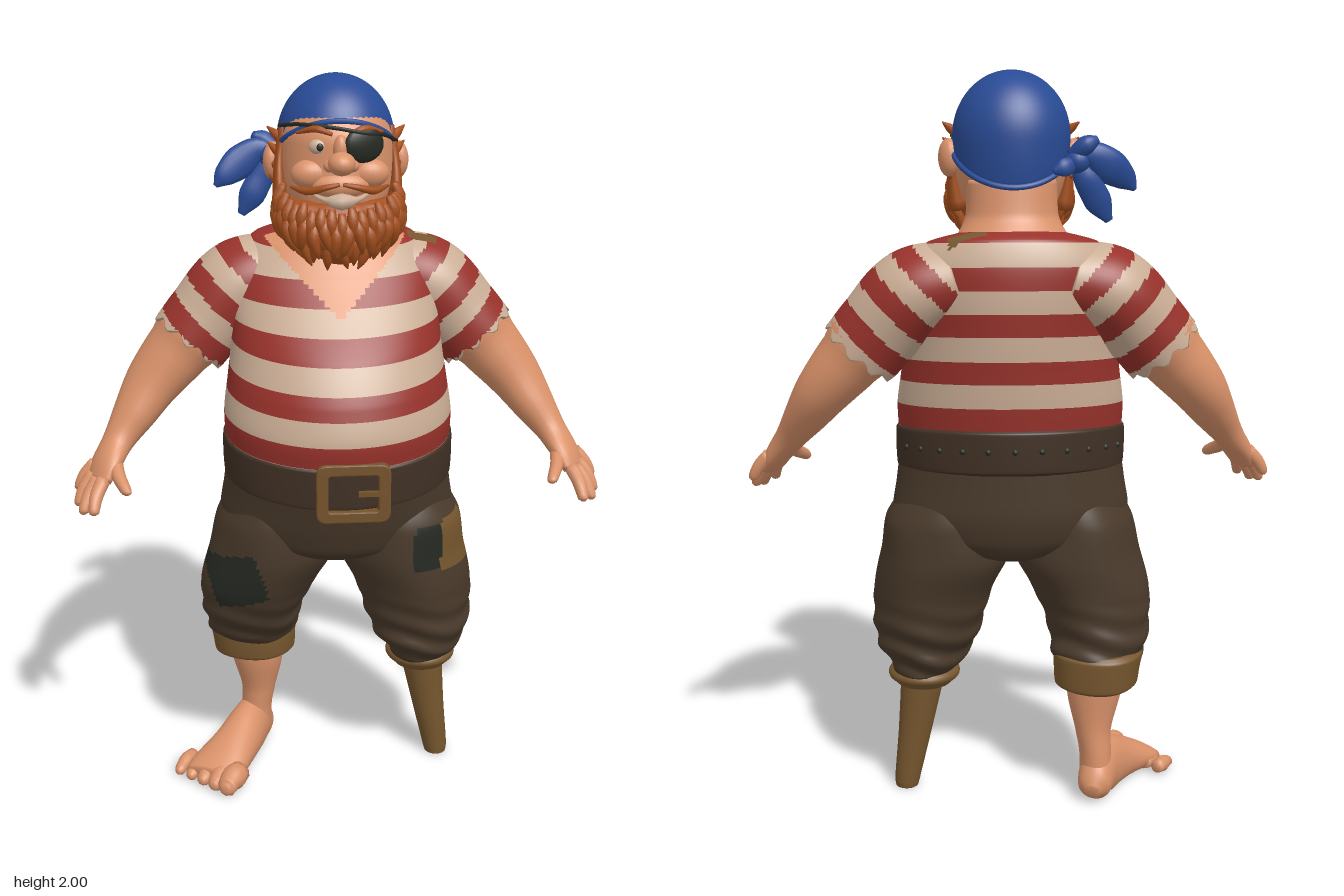
import * as THREE from 'three';

const V = (x, y, z) => new THREE.Vector3(x, y, z);
const material = (name, color) => {
  const m = new THREE.MeshStandardMaterial({ color });
  m.name = name;
  return m;
};

export function createModel() {
  const model = new THREE.Group();
  const skin = material('skin', 0xda926a), red = material('red stripe', 0x98322b);
  const cream = material('cream', 0xcbae96), blue = material('blue cloth', 0x294b95);
  const brown = material('trouser brown', 0x4a3a2b), leather = material('leather', 0x413125);
  const tan = material('tan', 0x77572f), ginger = material('ginger hair', 0xa5501e);
  const dark = material('dark cloth', 0x262a23), bronze = material('bronze', 0x74522b);

  const put = (name, geometry, mat) => {
    const mesh = new THREE.Mesh(geometry, mat);
    mesh.name = name;
    model.add(mesh);
    return mesh;
  };

  // Closed smooth surface from rings f(u, angle); pick chooses a material per facet
  const surface = (name, f, nu, nv, mats, pick = () => 0) => {
    const rows = [];
    for (let i = 0; i <= nu; i++) {
      rows.push(Array.from({ length: nv }, (_, j) => f(i / nu, (j / nv) * Math.PI * 2)));
    }
    const cap = (row) => {
      const c = V(0, 0, 0);
      row.forEach((p) => c.add(p));
      return row.map(() => c.clone().divideScalar(nv));
    };
    const all = [cap(rows[0]), ...rows, cap(rows[nu])];
    const buckets = mats.map(() => []);
    for (let i = 0; i < all.length - 1; i++) {
      for (let j = 0; j < nv; j++) {
        const k = (j + 1) % nv, a = i * nv + j, b = i * nv + k, c = a + nv, d = b + nv;
        const mid = all[i][j].clone().add(all[i + 1][k]).multiplyScalar(0.5);
        buckets[pick(mid)].push(a, b, c, b, d, c);
      }
    }
    const geo = new THREE.BufferGeometry().setFromPoints(all.flat());
    geo.setIndex(buckets.flat());
    let start = 0;
    if (mats.length > 1) buckets.forEach((b, i) => { geo.addGroup(start, b.length, i); start += b.length; });
    geo.computeVertexNormals();
    return put(name, geo, mats.length > 1 ? mats : mats[0]);
  };

  // Level rings, bottom to top: [y, centre x, half width, front z, back z]
  const stack = (name, secs, mats, { nu = 24, nv = 40, tilt = 0, pick, ripple = () => 0 } = {}) => {
    const mid = new THREE.CatmullRomCurve3(secs.map((s) => V(s[1], s[0], 0)));
    const size = new THREE.CatmullRomCurve3(secs.map((s) => V(s[2], s[3], s[4])));
    return surface(name, (u, a) => {
      const c = mid.getPoint(u), r = size.getPoint(u), k = 1 + ripple(a, c.y);
      const z = (r.y + r.z) / 2 + ((r.y - r.z) / 2) * Math.cos(a) * k;
      return V(c.x + r.x * Math.sin(a) * k, c.y - tilt * z, z);
    }, nu, nv, mats, pick);
  };

  // Tube along [x, y, z, radius towards ref, radius across]
  const tube = (name, pts, mats, { nu = 10, nv = 10, ref = V(0, 0, 1), pick, fringe = 0 } = {}) => {
    const path = new THREE.CatmullRomCurve3(pts.map((p) => V(p[0], p[1], p[2])));
    const size = new THREE.CatmullRomCurve3(pts.map((p) => V(p[3], p[4] ?? p[3], 0)));
    return surface(name, (u, a) => {
      const t = path.getTangent(u), b = t.clone().cross(ref).normalize(), n = b.clone().cross(t);
      const r = size.getPoint(u);
      const p = path.getPoint(u).addScaledVector(n, r.x * Math.cos(a)).addScaledVector(b, r.y * Math.sin(a));
      p.addScaledVector(t, fringe * u ** 14 * Math.sin(10 * a));
      p.y = Math.max(p.y, 0.005);
      return p;
    }, nu, nv, mats, pick);
  };

  const ball = (name, mat, pos, scale, seg = 20) => {
    const mesh = put(name, new THREE.SphereGeometry(1, seg, Math.ceil(seg * 0.7)), mat);
    mesh.position.set(...pos);
    mesh.scale.set(...scale);
    return mesh;
  };

  // Striped shirt with an open collar and two mended spots by the left shoulder
  const mended = (p) => p.y > 1.45 && ((p.x > .2 && p.x < .28 && p.z > -.135 && p.z < -.085)
    || (p.x > .07 && p.x < .17 && p.z > -.24 && p.z < -.2));
  stack('shirt', [[1.05, 0, .308, .285, -.265], [1.11, 0, .31, .292, -.272], [1.21, 0, .297, .268, -.282],
    [1.31, 0, .285, .212, -.29], [1.4, 0, .285, .13, -.295], [1.48, 0, .28, .06, -.29],
    [1.55, 0, .22, .005, -.267], [1.572, 0, .14, -.02, -.235]], [red, cream, skin, tan], {
    nu: 120, nv: 130, tilt: 0.1,
    pick: (p) => {
      if (p.z > -0.1 && p.y > 1.385 + 0.95 * Math.abs(p.x)) return 2;
      return mended(p) ? 3 : Math.floor((p.y + 0.1 * p.z - 1.055) / 0.061 + 2) % 2;
    },
  });
  stack('neck', [[1.5, 0, .19, -.01, -.25], [1.57, 0, .15, 0, -.235], [1.63, 0, .122, .01, -.195],
    [1.72, 0, .118, 0, -.18]], [skin]);

  // Sleeves, arms and hands
  for (const s of [1, -1]) {
    const side = (pts) => pts.map(([x, ...rest]) => [s * x, ...rest]);
    const ref = V(-s * 0.4, 0, 0.9);
    tube('sleeve', side([[.14, 1.468, -.145, .125, .1], [.26, 1.43, -.135, .138, .118], [.35, 1.335, -.118, .124, .115],
      [.4, 1.275, -.108, .118, .113]]), [red, cream, tan], {
      nu: 66, nv: 50, fringe: 0.011,
      pick: (p) => (mended(p) ? 2 : Math.abs(Math.floor((.7 * (Math.abs(p.x) - p.y) + .63) / .055)) % 2 ? 0 : 1),
    });
    tube('arm', side([[.33, 1.37, -.12, .1, .09], [.42, 1.265, -.11, .1, .09], [.5, 1.17, -.09, .088, .075],
      [.555, 1.09, -.05, .068, .058], [.603, 1.02, -.008, .048, .041], [.635, .97, .035, .06, .032],
      [.655, .93, .06, .056, .022]]), [skin], { nu: 32, nv: 24, ref });
    [[.665, .965, .01, .712, .9, .02], [.668, .945, .04, .71, .872, .07], [.655, .94, .07, .695, .864, .115],
      [.64, .945, .09, .665, .873, .15], [.61, .985, .04, .575, .93, .155]].forEach(([x, y, z, X, Y, Z], i) => {
      tube(i < 4 ? 'finger' : 'thumb', side([[x, y, z, .02], [(x + X) / 2 + .006, (y + Y) / 2, (z + Z) / 2, .019],
        [X, Y, Z, .014], [X, Y - .006, Z + .004, .005]]), [skin]);
    });
  }

  // Trousers with patches
  const folds = (a, y) => Math.max(0, 0.6 - y) * 0.26 * Math.sin(y * 80 + 2 * Math.sin(2 * a)) + 0.012 * Math.sin(5 * a + y * 12);
  stack('trouserSeat', [[.69, 0, .1, .06, -.16], [.71, 0, .19, .125, -.21], [.75, 0, .29, .178, -.24],
    [.82, 0, .325, .205, -.257], [.9, 0, .315, .23, -.26], [1.0, 0, .302, .265, -.262]], [brown], { nv: 56, tilt: 0.06 });
  stack('rightTrouserLeg', [[.39, -.24, .105, .0, -.21], [.43, -.24, .13, .04, -.215], [.5, -.243, .142, .09, -.215],
    [.6, -.222, .165, .135, -.22], [.7, -.182, .177, .16, -.228], [.8, -.175, .16, .165, -.225],
    [.9, -.15, .13, .15, -.2]], [brown, dark], {
    nu: 70, nv: 84, ripple: folds,
    pick: (p) => {
      const x = p.x + 0.29, y = p.y - 0.64;
      const near = Math.max(Math.abs(x * 0.95 + y * 0.3), Math.abs(y * 0.95 - x * 0.3)) < 0.073;
      return p.z > -0.02 && near ? 1 : 0;
    },
  });
  stack('leftTrouserLeg', [[.355, .243, .085, .08, -.13], [.4, .24, .115, .12, -.15], [.44, .237, .138, .135, -.16],
    [.5, .23, .152, .145, -.18], [.6, .213, .167, .165, -.2], [.7, .182, .18, .178, -.225],
    [.8, .18, .168, .18, -.225], [.9, .15, .13, .15, -.2]], [brown, tan, dark], {
    nu: 70, nv: 84, ripple: folds,
    pick: (p) => {
      if (p.y > .67 && p.y < .825 && p.x > .275 && p.z > .015) return 1;
      return p.y > .68 && p.y < .81 && p.x > .2 && p.x <= .275 && p.z > 0 ? 2 : 0;
    },
  });
  stack('rolledCuff', [[.335, -.235, .1, -.01, -.21], [.345, -.235, .116, .005, -.222], [.39, -.237, .121, .01, -.226],
    [.43, -.24, .125, .01, -.228], [.445, -.24, .11, 0, -.215]], [tan], { tilt: -0.05, ripple: (a) => 0.02 * Math.sin(4 * a) });

  // Belt, buckle and the row of holes round the back
  stack('belt', [[.935, 0, .3, .272, -.262], [.943, 0, .312, .284, -.27], [1.0, 0, .315, .288, -.273],
    [1.046, 0, .314, .29, -.274], [1.056, 0, .304, .28, -.265]], [leather], { nv: 64, tilt: 0.1 });
  for (let i = 9; i < 20; i++) {
    const a = (i / 28) * Math.PI * 2, z = .0075 + .28 * Math.cos(a);
    ball('beltHole', dark, [.315 * Math.sin(a), 1.0 - .1 * z, z], [.008, .008, .005], 8);
  }
  const box = (Shape, w, h, r) => {
    const s = new Shape();
    s.moveTo(-w + r, -h).lineTo(w - r, -h).quadraticCurveTo(w, -h, w, -h + r).lineTo(w, h - r);
    s.quadraticCurveTo(w, h, w - r, h).lineTo(-w + r, h).quadraticCurveTo(-w, h, -w, h - r);
    return s.lineTo(-w, -h + r).quadraticCurveTo(-w, -h, -w + r, -h);
  };
  const frame = box(THREE.Shape, .094, .077, .025);
  frame.holes.push(box(THREE.Path, .07, .054, .014));
  put('buckle', new THREE.ExtrudeGeometry(frame, { depth: .03, bevelSize: .004, bevelThickness: .004, bevelSegments: 2 }), bronze)
    .position.set(.02, .96, .26);
  put('buckleProng', new THREE.BoxGeometry(.075, .013, .014), bronze).position.set(.07, .96, .29);

  // Bare leg and foot
  stack('calf', [[.06, -.235, .045, -.08, -.195], [.14, -.232, .045, -.075, -.19], [.2, -.226, .05, -.07, -.185],
    [.3, -.228, .074, -.045, -.19], [.4, -.235, .085, -.03, -.2]], [skin], { nv: 28 });
  const up = V(0, 1, 0);
  tube('foot', [[-.218, .04, -.205, .02, .02], [-.225, .05, -.18, .05, .045], [-.25, .075, -.11, .085, .055],
    [-.3, .06, -.01, .066, .068], [-.355, .038, .075, .04, .085], [-.375, .03, .11, .022, .08]],
  [skin], { nu: 28, nv: 28, ref: up });
  for (let i = 0; i < 5; i++) {
    const t = i / 4, r = .031 - .013 * Math.sqrt(t), x = -.33 - .135 * t, z = .18 - .13 * t;
    tube('toe', [[x + .04, r + .012, z - .07, r], [x + .012, r + .008, z - .025, r], [x, r, z, r * .9],
      [x - .006, r, z + .012, r * .4]], [skin], { ref: up });
  }

  // Wooden peg leg
  stack('pegCollar', [[.312, .246, .075, .045, -.1], [.325, .246, .085, .056, -.113], [.365, .244, .085, .056, -.113],
    [.378, .243, .075, .045, -.1]], [tan]);
  stack('pegLeg', [[.005, .298, .032, -.002, -.076], [.02, .297, .035, 0, -.079], [.17, .273, .047, .012, -.087],
    [.34, .248, .062, .028, -.1]], [tan]);

  // Head and face
  stack('head', [[1.6, 0, .06, .07, -.1], [1.66, 0, .125, .115, -.15], [1.73, 0, .146, .128, -.175],
    [1.79, 0, .15, .122, -.185], [1.85, 0, .148, .118, -.19], [1.91, 0, .135, .085, -.19],
    [1.96, 0, .08, .02, -.13]], [skin], { nv: 48 });
  ball('nose', skin, [0, 1.795, .142], [.036, .03, .04]);
  ball('noseBridge', skin, [0, 1.825, .118], [.02, .04, .022]);
  ball('upperLip', skin, [0, 1.735, .105], [.075, .035, .035]);
  for (const s of [1, -1]) {
    ball('cheek', skin, [s * .075, 1.762, .088], [.052, .038, .035]);
    ball('nostril', skin, [s * .028, 1.788, .13], [.018, .016, .02]);
    ball('ear', skin, [s * .165, 1.775, -.055], [.026, .05, .036]).rotation.y = s * 0.4;
    tube('eyebrow', [[s * .022, 1.866, .122, .005], [s * .06, 1.879, .114, .009], [s * .11, 1.866, .08, .004]], [ginger], { ref: up });
    tube('moustache', [[s * .004, 1.742, .138, .005], [s * .04, 1.735, .138, .008], [s * .085, 1.722, .115, .01],
      [s * .125, 1.728, .075, .004]], [ginger], { ref: up });
    // Sideburns with loose tufts
    tube('sideburn', [[s * .138, 1.87, -.015, .02, .012], [s * .15, 1.8, -.01, .026, .012], [s * .152, 1.72, .005, .04, .018],
      [s * .14, 1.64, .015, .05, .03]], [ginger], { nv: 14 });
    for (let i = 0; i < 4; i++) {
      const y = 1.85 - i * .04;
      tube('hairTuft', [[s * .14, y - .015, -.01, .016], [s * .16, y, -.025, .012], [s * .18, y + .016, -.04, .002]], [ginger], { ref: up });
    }
  }
  ball('eye', cream, [-.055, 1.833, .1], [.026, .02, .016]);
  ball('pupil', dark, [-.053, 1.833, .114], [.009, .01, .005], 12);
  const patch = ball('eyePatch', dark, [.06, 1.838, .11], [.056, .046, .018]);
  patch.rotation.y = 0.4;
  tube('eyePatchStrap', [[-.15, 1.875, .01, .005], [-.1, 1.887, .082, .005], [0, 1.88, .125, .005], [.06, 1.868, .122, .005],
    [.11, 1.86, .09, .005], [.156, 1.83, -.01, .005]], [dark], { nu: 28, nv: 8, ref: up });
  tube('smile', [[-.075, 1.716, .112, .003], [-.035, 1.702, .141, .008], [.035, 1.702, .141, .008], [.075, 1.716, .112, .003]],
    [cream], { ref: up });

  // Beard: a full core covered with locks
  stack('beard', [[1.535, 0, .03, .13, .07], [1.56, 0, .08, .155, .02], [1.6, 0, .13, .165, -.01], [1.65, 0, .158, .16, -.03],
    [1.685, 0, .155, .13, -.03], [1.695, 0, .14, .11, -.02]], [ginger],
  { nu: 24, nv: 72, ripple: (a, y) => 0.03 * Math.sin(14 * a + y * 40) });
  [[1.678, .97, 21], [1.65, 1, 20], [1.62, .84, 15]].forEach(([top, k, count], row) => {
    for (let i = 0; i < count; i++) {
      const a = (i / (count - 1) - 0.5) * 3.5, y = top + .045 * (1 - Math.cos(a)) + .008 * Math.sin(i * 2.4 + row);
      const sway = .07 * Math.sin(i * 1.7 + row);
      const at = (f, dy, r, turn) => [.16 * k * f * Math.sin(a + turn), y - dy, .055 + .108 * k * f * Math.cos(a + turn), r];
      tube('beardLock', [at(.93, 0, .009, 0), at(1.02, .035, .016, 0), at(.98, .07, .012, sway), at(.9, .095, .002, 2 * sway)],
        [ginger], { nv: 8 });
    }
  });

  // Bandana with rolled hem, knot and tails
  const bandana = (phi, a) => {
    const t = Math.sin(phi), r = t > 0 ? Math.cos(phi) : 1 - 0.13 * t * t;
    return V(.155 * r * Math.sin(a), 1.83 + .17 * t, -.055 + .16 * r * Math.cos(a));
  };
  const hem = (a) => Math.asin((-.03 + .095 * Math.cos(a)) / .17);
  surface('bandana', (u, a) => bandana(hem(a) + (Math.PI / 2 - hem(a)) * u, a), 24, 56, [blue]);
  const hemCurve = new THREE.CatmullRomCurve3(
    Array.from({ length: 24 }, (_, i) => bandana(hem(i * Math.PI / 12), i * Math.PI / 12)), true);
  put('bandanaHem', new THREE.TubeGeometry(hemCurve, 72, .008, 8, true), blue);
  ball('bandanaKnot', blue, [-.165, 1.77, -.165], [.035, .035, .035]);
  tube('bandanaTail', [[-.16, 1.775, -.165, .015, .02], [-.2, 1.785, -.17, .022, .035], [-.25, 1.755, -.16, .022, .045],
    [-.295, 1.72, -.14, .014, .03], [-.318, 1.695, -.135, .004, .006]], [blue], { nu: 16, nv: 16 });
  tube('bandanaTail', [[-.165, 1.765, -.165, .015, .02], [-.19, 1.72, -.165, .02, .034], [-.218, 1.67, -.155, .018, .036],
    [-.25, 1.615, -.15, .004, .01]], [blue], { nu: 16, nv: 16 });
  tube('bandanaBow', [[-.15, 1.78, -.17, .015, .02], [-.185, 1.81, -.185, .022, .025], [-.215, 1.825, -.18, .01, .01]],
    [blue], { nv: 14 });
  tube('bandanaBow', [[-.16, 1.77, -.17, .012, .015], [-.13, 1.755, -.198, .014, .024], [-.1, 1.745, -.205, .005, .008]],
    [blue], { nv: 14 });

  return model;
}
